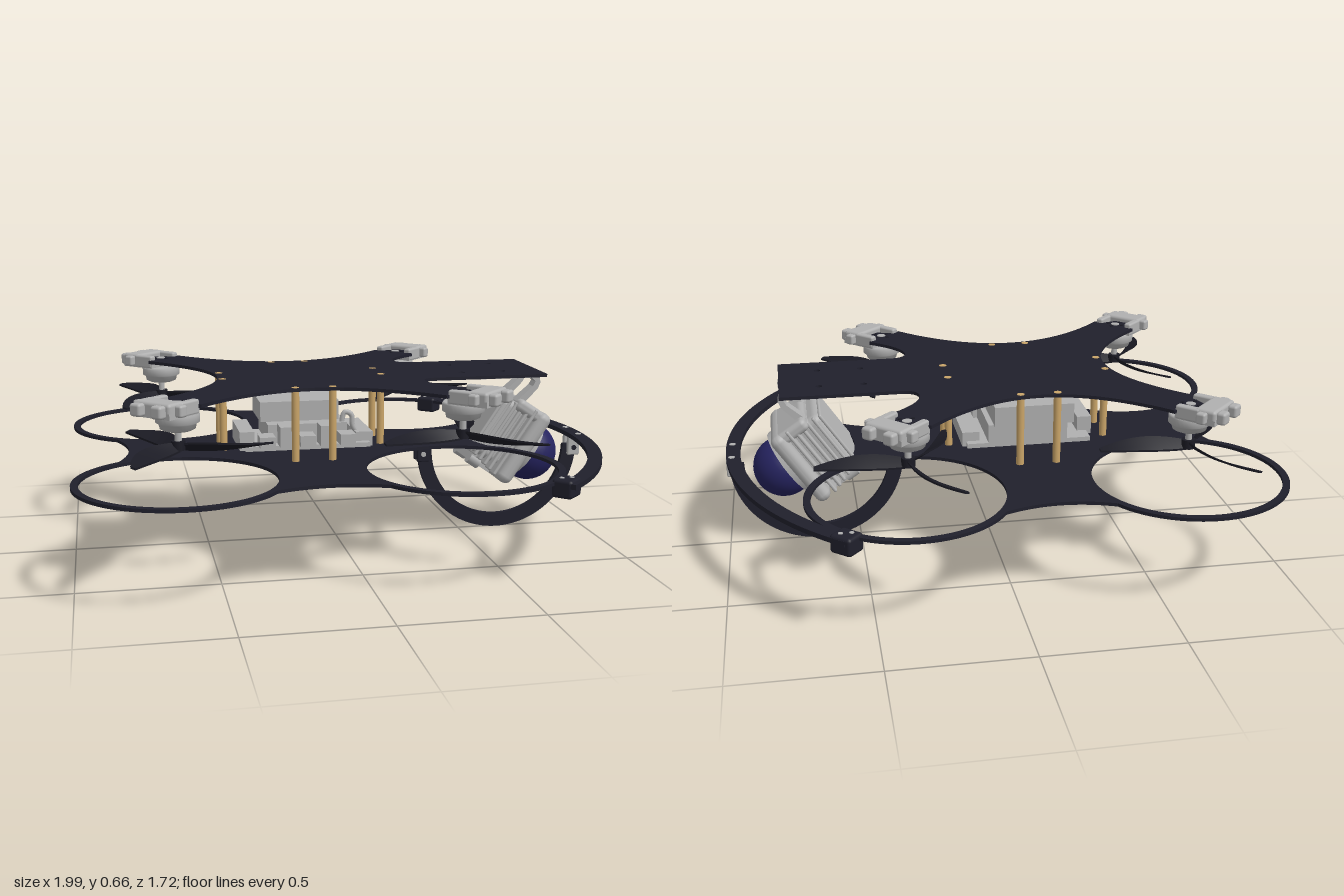
import * as THREE from 'three';
import { RoundedBoxGeometry } from 'three/addons/geometries/RoundedBoxGeometry.js';

const mat = (name, color) => Object.assign(new THREE.MeshStandardMaterial({ color }), { name });
const V2 = (x, y) => new THREE.Vector2(x, y);
const CX = -0.139;   // centre of the frame
const ARM = 0.496;   // motor offset from the frame centre

export function createModel() {
  const carbon = mat('carbon', 0x20202c);
  const propBlack = mat('propeller black', 0x1b1b24);
  const grey = mat('grey metal', 0xb0b0b0);
  const brass = mat('brass', 0xc9a468);
  const glass = mat('blue glass', 0x25235f);
  const model = new THREE.Group();

  const add = (parent, name, geo, material, x = 0, y = 0, z = 0) => {
    const m = new THREE.Mesh(geo, material);
    m.name = name;
    m.position.set(x, y, z);
    parent.add(m);
    return m;
  };
  const box = (p, name, m, x0, x1, y0, y1, z0, z1) =>
    add(p, name, new THREE.BoxGeometry(x1 - x0, y1 - y0, z1 - z0), m, (x0 + x1) / 2, (y0 + y1) / 2, (z0 + z1) / 2);
  const rounded = (p, name, m, w, h, d, r, x, y, z) =>
    add(p, name, new RoundedBoxGeometry(w, h, d, 2, r), m, x, y, z);
  const cyl = (p, name, m, r, h, x, y, z, axis = 'y') => {
    const g = new THREE.CylinderGeometry(r, r, h, 20);
    if (axis === 'x') g.rotateZ(Math.PI / 2);
    if (axis === 'z') g.rotateX(Math.PI / 2);
    return add(p, name, g, m, x, y, z);
  };
  const extrude = (shape, depth) =>
    new THREE.ExtrudeGeometry(shape, { depth, bevelEnabled: false, curveSegments: 40 });
  const plate = (name, shape, x, y, z, t = 0.012) =>
    add(model, name, extrude(shape, t).rotateX(-Math.PI / 2), carbon, x, y, z);
  const hole = (shape, x, y, r) => shape.holes.push(new THREE.Path().absarc(x, y, r, 0, Math.PI * 2, true));
  const band = (r0, r1, a0, a1) => {
    const s = new THREE.Shape().absarc(0, 0, r1, a0, a1, false);
    s.absarc(0, 0, r0, a1, a0, true);
    s.closePath();
    return s;
  };

  // Lower plate: four scooped sides and four bays for the propeller rings
  const lower = new THREE.Shape();
  for (let k = 0; k < 4; k++) {
    const a = k * Math.PI / 2;
    const rot = (x, y) => [x * Math.cos(a) - y * Math.sin(a), x * Math.sin(a) + y * Math.cos(a)];
    if (k === 0) lower.moveTo(0.70, 0.21);
    lower.absarc(...rot(ARM, ARM), 0.351, a - 0.951, a - 3.761, true);
    lower.quadraticCurveTo(...rot(0, 0.60), ...rot(-0.21, 0.70));
  }
  plate('lowerPlate', lower, CX, 0.365, 0);

  // Upper plate: four arms and a nose that carries the camera
  const upper = new THREE.Shape();
  const tip = [[0.55, 0.42], [0.53, 0.46], [0.545, 0.51], [0.51, 0.545], [0.46, 0.53], [0.42, 0.55]];
  const armTip = (sx, sy, pts) => pts.forEach(([x, y]) => upper.lineTo(sx * x, sy * y));
  const back = [...tip].reverse();
  upper.moveTo(0.49, -0.19);
  upper.lineTo(0.919, -0.19);
  upper.lineTo(0.919, 0.19);
  upper.lineTo(0.49, 0.19);
  upper.quadraticCurveTo(0.425, 0.19, 0.425, 0.25);
  upper.quadraticCurveTo(0.43, 0.33, 0.55, 0.42);
  armTip(1, 1, tip);
  upper.quadraticCurveTo(0, 0.08, -0.42, 0.55);
  armTip(-1, 1, back);
  upper.quadraticCurveTo(-0.08, 0, -0.55, -0.42);
  armTip(-1, -1, tip);
  upper.quadraticCurveTo(0, 0.08 * -1, 0.42, -0.55);
  armTip(1, -1, back);
  upper.quadraticCurveTo(0.43, -0.33, 0.425, -0.25);
  upper.quadraticCurveTo(0.425, -0.19, 0.49, -0.19);
  for (const s of [-1, 1]) for (const x of [0.612, 0.774]) hole(upper, x, s * 0.09, 0.012);
  plate('upperPlate', upper, CX, 0.633, 0);

  // Brass standoffs
  for (const s of [-1, 1])
    for (const [x, z] of [[-0.205, 0.30], [-0.07, 0.30], [-0.44, 0.07], [0.16, 0.07]])
      cyl(model, 'standoff', brass, 0.014, 0.272, x, 0.51, s * z);

  // Propeller blade: a box bent into a swept, twisted blade
  const blade = new THREE.BoxGeometry(1, 1, 1, 14, 1, 4);
  const bp = blade.attributes.position;
  for (let i = 0; i < bp.count; i++) {
    const t = bp.getX(i) + 0.5;
    const chord = 0.012 + 0.05 * Math.pow(Math.sin(Math.PI * Math.min(1, 0.12 + t * 0.86)), 0.8);
    const c = bp.getZ(i) * chord, pitch = 0.75 - 0.5 * t;
    bp.setXYZ(i, 0.01 + 0.31 * t, bp.getY(i) * 0.007 + c * Math.sin(pitch),
      c * Math.cos(pitch) + 0.028 * Math.sin(Math.PI * t));
  }
  blade.computeVertexNormals();

  const motorBell = new THREE.LatheGeometry(
    [V2(0, 0.548), V2(0.045, 0.55), V2(0.06, 0.557), V2(0.064, 0.574), V2(0.075, 0.58), V2(0.075, 0.605), V2(0.07, 0.613), V2(0, 0.613)], 32);

  // Ring, motor, mount and propeller at each corner
  for (const sx of [-1, 1]) for (const sz of [-1, 1]) {
    const x = CX + sx * ARM, z = sz * ARM;
    const ring = new THREE.Shape().absarc(0, 0, 0.362, 0, Math.PI * 2, false);
    hole(ring, 0, 0, 0.337);
    plate('propellerRing', ring, x, 0.365, z);

    const corner = new THREE.Group();
    corner.name = 'motorUnit';
    corner.position.set(x, 0, z);
    corner.rotation.y = -Math.atan2(sz, sx);
    model.add(corner);
    add(corner, 'motor', motorBell, grey);
    box(corner, 'mountBase', grey, -0.02, 0.13, 0.612, 0.633, -0.08, 0.08);
    rounded(corner, 'mountClamp', grey, 0.08, 0.053, 0.16, 0.012, 0.09, 0.638, 0);
    for (const s of [-1, 1]) {
      rounded(corner, 'mountCheek', grey, 0.09, 0.05, 0.03, 0.008, 0.025, 0.637, s * 0.067);
      rounded(corner, 'mountLug', grey, 0.035, 0.044, 0.045, 0.01, 0.143, 0.638, s * 0.045);
      rounded(corner, 'mountSideLug', grey, 0.035, 0.04, 0.03, 0.008, 0.085, 0.638, s * 0.09);
    }
    cyl(corner, 'motorShaftCap', grey, 0.017, 0.006, 0, 0.645, 0);
    for (let k = 0; k < 4; k++)
      cyl(corner, 'mountScrew', propBlack, 0.007, 0.006, 0.032 * Math.cos(k * Math.PI / 2), 0.644, 0.032 * Math.sin(k * Math.PI / 2));
    cyl(corner, 'shaft', grey, 0.012, 0.05, 0, 0.53, 0);

    const prop = new THREE.Group();
    prop.name = 'propeller';
    prop.position.set(x, 0.493, z);
    prop.rotation.y = sx > 0 && sz > 0 ? -0.73 : 0;
    model.add(prop);
    cyl(prop, 'propellerHub', propBlack, 0.024, 0.032, 0, 0.005, 0);
    for (let k = 0; k < 3; k++) add(prop, 'blade', blade, propBlack).rotation.y = k * Math.PI * 2 / 3;
  }

  // Bumper: flat arc in front of the nose, clamped to the rings
  plate('bumper', band(1.063, 1.115, -0.80, 0.865), -0.125, 0.36, 0.02, 0.018);
  for (const [x, z, a] of [[0.59, -0.785, 0.85], [0.645, 0.755, -0.8]]) {
    rounded(model, 'bumperClamp', carbon, 0.075, 0.065, 0.085, 0.012, x, 0.355, z).rotation.y = a;
    for (const s of [-1, 1]) cyl(model, 'clampScrew', grey, 0.008, 0.004, x + s * 0.018, 0.388, z);
  }
  for (const z of [-0.065, 0.065]) cyl(model, 'bumperScrew', grey, 0.012, 0.004, 0.967, 0.378, z);

  // Semicircular skid below the camera
  const skid = add(model, 'skid', extrude(band(0.272, 0.327, Math.PI, Math.PI * 2), 0.018), carbon, 0.655, 0.327, -0.009);
  skid.updateMatrix();
  box(model, 'rearSkidTab', carbon, 0.328, 0.383, 0.325, 0.366, -0.009, 0.009);
  for (const s of [-1, 1]) {
    rounded(model, 'frontSkidBracket', grey, 0.05, 0.078, 0.018, 0.006, 0.966, 0.323, s * 0.022);
    cyl(model, 'skidBolt', carbon, 0.01, 0.008, 0.966, 0.315, s * 0.031, 'z');
    rounded(model, 'rearSkidBracket', carbon, 0.05, 0.078, 0.018, 0.006, 0.344, 0.323, s * 0.022);
    cyl(model, 'skidBolt', grey, 0.01, 0.008, 0.344, 0.315, s * 0.031, 'z');
  }

  // Camera, tilted down; its local x is the viewing axis
  const camera = new THREE.Group();
  camera.name = 'camera';
  camera.position.set(0.742, 0.33, 0);
  camera.rotation.z = -0.595;
  model.add(camera);
  rounded(camera, 'cameraFrame', grey, 0.06, 0.315, 0.325, 0.028, -0.03, 0, 0);
  rounded(camera, 'cameraCore', grey, 0.17, 0.25, 0.25, 0.03, -0.12, 0.005, 0);
  rounded(camera, 'cameraTop', grey, 0.14, 0.05, 0.30, 0.02, -0.085, 0.13, 0);
  for (let k = 0; k < 6; k++)
    rounded(camera, 'coolingFin', grey, 0.013, 0.30 - k * 0.012, 0.31 - k * 0.014, 0.006, -0.078 - k * 0.025, 0, 0);
  cyl(camera, 'lensCollar', grey, 0.135, 0.03, 0.005, 0, 0, 'x');
  add(camera, 'lensDome', new THREE.SphereGeometry(0.115, 32, 20), glass, 0.045, 0, 0);
  for (const s of [-1, 1]) cyl(camera, 'cameraKnob', grey, 0.024, 0.05, -0.155, -0.145, s * 0.08, 'x');
  box(camera, 'cameraRearBlock', grey, -0.18, -0.08, -0.155, -0.11, -0.10, 0.10);

  // Two bent straps that hang the camera from the nose
  const strap = new THREE.Shape([V2(0.51, 0.634), V2(0.76, 0.634), V2(0.78, 0.622), V2(0.785, 0.6), V2(0.775, 0.575),
    V2(0.72, 0.52), V2(0.69, 0.53), V2(0.755, 0.585), V2(0.765, 0.603), V2(0.75, 0.618), V2(0.51, 0.618)]);
  for (const z of [-0.085, 0.085]) add(model, 'cameraStrap', extrude(strap, 0.05), grey, 0, 0, z - 0.025);

  // Electronics between the plates
  const stack = new THREE.Group();
  stack.name = 'electronics';
  model.add(stack);
  box(stack, 'circuitBoard', grey, -0.37, 0.10, 0.388, 0.405, -0.15, 0.17);
  box(stack, 'controllerBox', grey, -0.30, 0.0, 0.475, 0.55, -0.17, 0.06);
  box(stack, 'controllerBase', grey, -0.28, 0.02, 0.405, 0.475, -0.15, 0.12);
  box(stack, 'rearConnector', grey, -0.39, -0.335, 0.39, 0.46, -0.08, 0.16);
  box(stack, 'frontConnector', grey, 0.05, 0.115, 0.385, 0.44, -0.12, 0.14);
  for (let k = 0; k < 5; k++)
    box(stack, 'sidePort', grey, -0.32 + k * 0.075, -0.262 + k * 0.075, 0.405, 0.445 + (k % 2) * 0.035, 0.12, 0.20);
  const lead = new THREE.CatmullRomCurve3([[0, 0.45], [0.015, 0.51], [0.04, 0.50], [0.045, 0.46], [0.07, 0.42]]
    .map(([x, y]) => new THREE.Vector3(x, y, 0.10)));
  add(stack, 'lead', new THREE.TubeGeometry(lead, 20, 0.01, 8), grey);

  return model;
}
